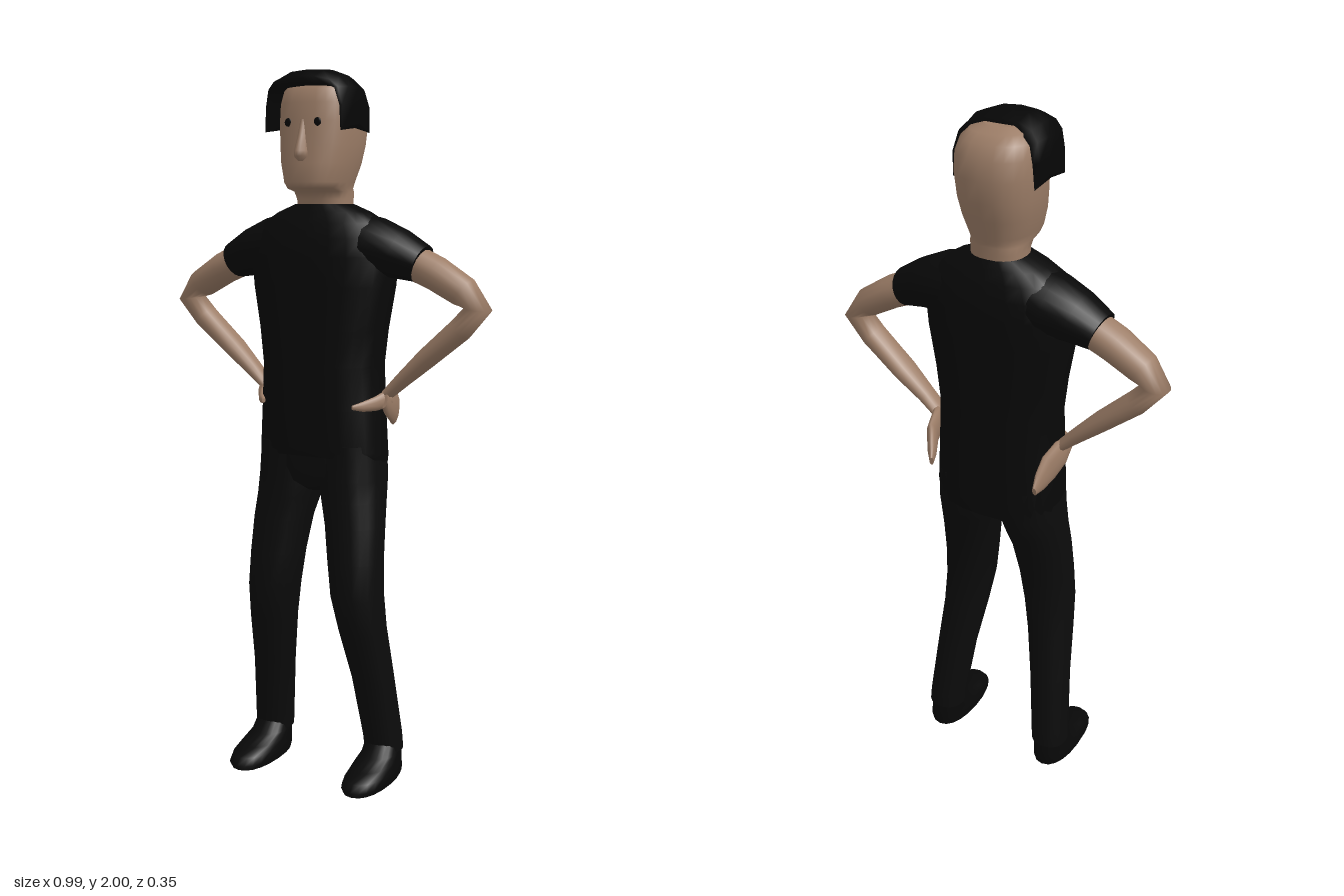
import * as THREE from 'three';

const mat = (name, color) => Object.assign(new THREE.MeshStandardMaterial({ color }), { name });

// Skin a closed surface over a list of rings (arrays of Vector3), with flat end caps
function loft(rings) {
  const n = rings[0].length, pos = [], idx = [];
  const put = p => pos.push(p.x, p.y, p.z);
  rings.forEach(r => r.forEach(put));
  for (let i = 0; i < rings.length - 1; i++)
    for (let j = 0; j < n; j++) {
      const a = i * n + j, b = i * n + (j + 1) % n;
      idx.push(a, a + n, b, b, a + n, b + n);
    }
  [rings[0], rings[rings.length - 1]].forEach((ring, end) => {
    const base = pos.length / 3;
    ring.forEach(put);
    put(ring.reduce((s, p) => s.add(p), new THREE.Vector3()).divideScalar(n));
    for (let j = 0; j < n; j++) {
      const a = base + j, b = base + (j + 1) % n;
      idx.push(base + n, ...(end ? [b, a] : [a, b]));
    }
  });
  const g = new THREE.BufferGeometry();
  g.setAttribute('position', new THREE.Float32BufferAttribute(pos, 3));
  g.setIndex(idx);
  g.computeVertexNormals();
  return g;
}

const bend = (v, n) => Math.sign(v) * Math.pow(Math.abs(v), 2 / n);

// Upright body from level sections [y, centreX, halfWidth, frontZ, backZ, tilt]
function body(sections, n = 2.5, sides = 24) {
  return loft(sections.map(([y, cx, rx, zf, zb, tilt = 0]) =>
    Array.from({ length: sides }, (_, j) => {
      const a = j / sides * Math.PI * 2, c = bend(Math.cos(a), n), s = bend(Math.sin(a), n);
      return new THREE.Vector3(cx + rx * c, y + tilt * s, (zf + zb) / 2 + (zf - zb) / 2 * s);
    })));
}

// Limb along points [x, y, z, radiusAlongRef, radiusAcross]
function limb(points, ref, sides = 14) {
  const p = points.map(q => new THREE.Vector3(q[0], q[1], q[2]));
  return loft(points.map((q, i) => {
    const t = p[Math.min(i + 1, p.length - 1)].clone().sub(p[Math.max(i - 1, 0)]).normalize();
    const u = ref.clone().addScaledVector(t, -ref.dot(t)).normalize();
    const v = u.clone().cross(t);
    return Array.from({ length: sides }, (_, j) => {
      const a = j / sides * Math.PI * 2;
      return p[i].clone().addScaledVector(u, q[3] * Math.cos(a)).addScaledVector(v, q[4] * Math.sin(a));
    });
  }));
}

// Hair: a shell swept from one temple over the crown to the other
function hairGeometry() {
  // x, y, frontZ, backZ, thickness factor
  const half = [
    [0.122, 1.858, 0.102, -0.062, 0.15], [0.126, 1.9, 0.1, -0.068, 0.35], [0.118, 1.95, 0.104, -0.062, 0.5],
    [0.095, 1.98, 0.112, -0.052, 0.75], [0.05, 1.997, 0.124, -0.044, 1],
  ];
  const arch = [...half.map(([x, ...r]) => [-x, ...r]), [0, 2, 0.13, -0.042, 1], ...half.slice().reverse()];
  // position from back (0) to front (1), depth below the outer surface
  const profile = [[1, -0.042], [0.98, -0.024], [0.72, -0.005], [0.42, 0], [0.14, -0.014],
    [0, -0.034], [0.14, -0.046], [0.5, -0.046], [0.85, -0.046]];
  return loft(arch.map(([x, y, zf, zb, k], i) => {
    const a = arch[Math.max(i - 1, 0)], b = arch[Math.min(i + 1, arch.length - 1)];
    const nrm = new THREE.Vector2(a[1] - b[1], b[0] - a[0]).normalize();
    const temple = i === 0 || i === arch.length - 1;
    return profile.map(([f, d]) => new THREE.Vector3(
      x + nrm.x * d * k,
      y + nrm.y * d * k - (temple ? 0.025 * Math.abs(2 * f - 1) : 0),
      zb + (zf - zb) * f));
  }));
}

export function createModel() {
  const skin = mat('skin', 0x9c7d67), shirt = mat('shirt black', 0x080808), cloth = mat('trouser black', 0x0b0b0b);
  const hair = mat('hair black', 0x060606), shoe = mat('shoe black', 0x080808);
  const Z = new THREE.Vector3(0, 0, 1), Y = new THREE.Vector3(0, 1, 0);
  const model = new THREE.Group();
  model.name = 'standingMan';
  const add = (name, geo, m) => {
    const mesh = new THREE.Mesh(geo, m);
    mesh.name = name;
    model.add(mesh);
    return mesh;
  };

  // Head and neck
  add('head', body([
    [1.6, 0, 0.076, 0.04, -0.09], [1.655, 0, 0.076, 0.045, -0.094], [1.675, 0, 0.078, 0.06, -0.095],
    [1.684, 0, 0.08, 0.105, -0.097], [1.7, 0, 0.085, 0.117, -0.102], [1.75, 0, 0.1, 0.114, -0.118],
    [1.8, 0, 0.107, 0.11, -0.133], [1.86, 0, 0.112, 0.105, -0.14], [1.91, 0, 0.11, 0.1, -0.134],
    [1.945, 0, 0.1, 0.09, -0.115], [1.965, 0, 0.08, 0.07, -0.09], [1.976, 0, 0.045, 0.035, -0.055],
  ]), skin);
  add('nose', body([
    [1.755, 0, 0.014, 0.117, 0.08], [1.768, 0, 0.022, 0.131, 0.08], [1.782, 0, 0.02, 0.135, 0.08],
    [1.82, 0, 0.014, 0.12, 0.08], [1.865, 0, 0.011, 0.106, 0.08],
  ], 1.6, 12), skin);
  add('hair', hairGeometry(), hair);

  // Shirt body, hem lower at the back
  add('shirt', body([
    [0.918, 0, 0.186, 0.098, -0.137, 0.03], [0.95, 0, 0.19, 0.102, -0.14, 0.02], [1.08, 0, 0.182, 0.105, -0.14],
    [1.2, 0, 0.176, 0.106, -0.14], [1.3, 0, 0.188, 0.106, -0.141], [1.42, 0, 0.21, 0.105, -0.142],
    [1.5, 0, 0.218, 0.101, -0.14], [1.55, 0, 0.212, 0.092, -0.133], [1.59, 0, 0.185, 0.078, -0.12],
    [1.62, 0, 0.135, 0.063, -0.105], [1.642, 0, 0.078, 0.05, -0.092],
  ]), shirt);

  // Trouser seat joining the legs
  add('trouserSeat', body([
    [0.842, 0, 0.035, 0.05, -0.07], [0.87, 0, 0.1, 0.083, -0.105],
    [0.91, 0, 0.165, 0.09, -0.122], [0.98, 0, 0.178, 0.09, -0.125],
  ]), cloth);

  for (const s of [1, -1]) {
    const side = s > 0 ? 'left' : 'right';
    const arm = pts => pts.map(([x, ...r]) => [x * s, ...r]);
    const legs = pts => pts.map(([y, x, ...r]) => [y, x * s, ...r]);

    // Eyes
    const eye = add(side + 'Eye', new THREE.SphereGeometry(0.0115, 14, 8), hair);
    eye.scale.z = 0.35;
    eye.position.set(0.045 * s, 1.858, 0.1);

    // Sleeve and arm, bent with the hand on the hip
    add(side + 'Sleeve', limb(arm([
      [0.08, 1.535, -0.025, 0.095, 0.088], [0.16, 1.525, -0.025, 0.098, 0.082],
      [0.23, 1.507, -0.026, 0.082, 0.068], [0.297, 1.482, -0.028, 0.064, 0.052],
    ]), Z, 20), shirt);
    add(side + 'Arm', limb(arm([
      [0.26, 1.492, -0.028, 0.058, 0.048], [0.34, 1.457, -0.029, 0.057, 0.046], [0.42, 1.41, -0.031, 0.05, 0.042],
      [0.46, 1.366, -0.033, 0.042, 0.038], [0.41, 1.31, -0.034, 0.042, 0.033], [0.31, 1.225, -0.034, 0.042, 0.028],
      [0.24, 1.162, -0.032, 0.032, 0.021], [0.195, 1.12, -0.032, 0.03, 0.016],
    ]), Z), skin);
    const tip = s > 0 ? 0.14 : 0.185;
    add(side + 'Hand', limb(arm([
      [0.2, 1.11, 0, 0.025, 0.01], [0.196, 1.1, -0.04, 0.046, 0.016], [0.186, 1.075, -0.09, 0.05, 0.016],
      [(tip + 0.18) / 2, 1.052, -0.135, 0.036, 0.013], [tip, 1.04, -0.17, 0.014, 0.006],
    ]), Y, 12), skin);
    add(side + 'Thumb', limb(arm([
      [0.2, 1.11, -0.03, 0.026, 0.014], [0.182, 1.098, 0.02, 0.02, 0.012],
      [0.162, 1.093, 0.055, 0.014, 0.01], [0.142, 1.092, 0.08, 0.006, 0.005],
    ]), Y, 10), skin);

    // Trouser leg and shoe
    add(side + 'TrouserLeg', body(legs([
      [0.075, 0.186, 0.055, 0.012, -0.102], [0.12, 0.183, 0.055, 0.018, -0.1], [0.3, 0.165, 0.059, 0.05, -0.074],
      [0.45, 0.147, 0.066, 0.093, -0.053], [0.55, 0.136, 0.072, 0.114, -0.049], [0.65, 0.127, 0.078, 0.107, -0.055],
      [0.75, 0.117, 0.084, 0.097, -0.075], [0.82, 0.105, 0.09, 0.091, -0.1], [0.88, 0.097, 0.094, 0.09, -0.12],
      [0.98, 0.092, 0.092, 0.09, -0.125],
    ]), 2.2, 20), cloth);
    add(side + 'Shoe', body(legs([
      [0, 0.187, 0.058, 0.163, -0.1], [0.015, 0.188, 0.063, 0.171, -0.104], [0.035, 0.188, 0.06, 0.155, -0.104],
      [0.052, 0.187, 0.056, 0.11, -0.103], [0.07, 0.186, 0.052, 0.045, -0.1], [0.11, 0.185, 0.048, 0.008, -0.095],
    ]), 2.3, 20), shoe);
  }
  return model;
}
